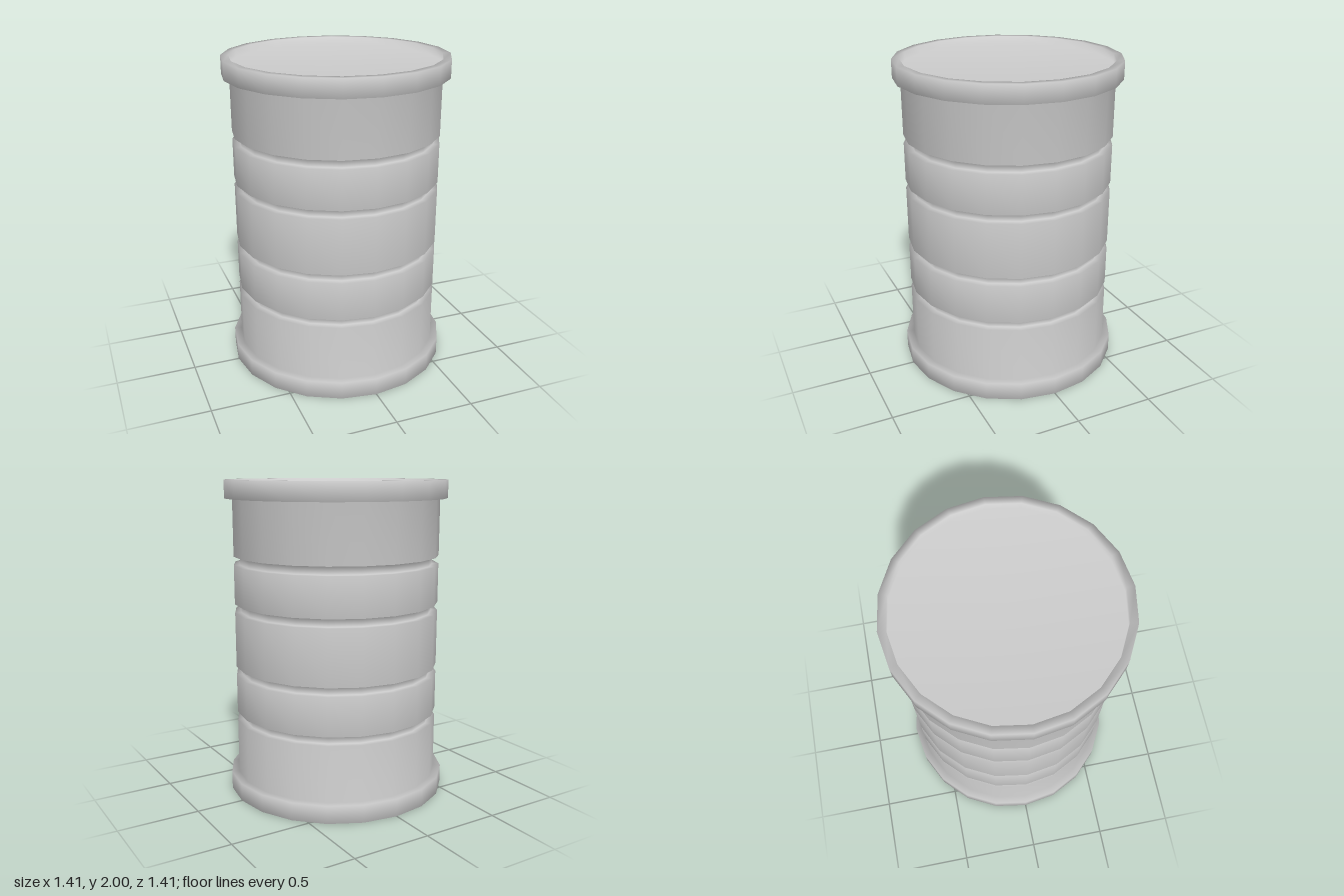
import * as THREE from 'three';
import { mergeVertices } from 'three/addons/utils/BufferGeometryUtils.js';

const SIDES = 20;
const R_BODY = 0.655, R_GROOVE = 0.615, R_RIM = 0.703;
const HEIGHT = 2, RIM_H = 0.113, RECESS = 0.05, GROOVE_HALF = 0.027;

export function createModel() {
  const barrel = new THREE.Group();
  barrel.name = 'barrel';
  const grey = new THREE.MeshStandardMaterial({ color: 0xcccccc });

  // Lower half of the outline: sunken base, rim, then bands and grooves
  const half = [
    [0, RECESS],
    [R_BODY, RECESS],
    [R_BODY, 0],
    [R_RIM, 0],
    [R_RIM, RIM_H],
    [R_BODY, RIM_H],
  ];
  for (const y of [0.497, 0.797]) {
    const low = y - GROOVE_HALF, high = y + GROOVE_HALF;
    half.push([R_BODY, low], [R_GROOVE, low], [R_GROOVE, high], [R_BODY, high]);
  }

  // The upper half, with the sunken lid, mirrors the lower one
  const outline = [...half, ...half.map(([r, y]) => [r, HEIGHT - y]).reverse()];
  const lathe = new THREE.LatheGeometry(outline.map(([r, y]) => new THREE.Vector2(r, y)), SIDES);

  // Weld the seam and weight normals by area: broad faces stay flat, small ledges blend
  lathe.deleteAttribute('uv');
  lathe.deleteAttribute('normal');
  const geometry = mergeVertices(lathe);
  geometry.computeVertexNormals();

  const shell = new THREE.Mesh(geometry, grey);
  shell.name = 'barrelShell';
  barrel.add(shell);
  return barrel;
}
